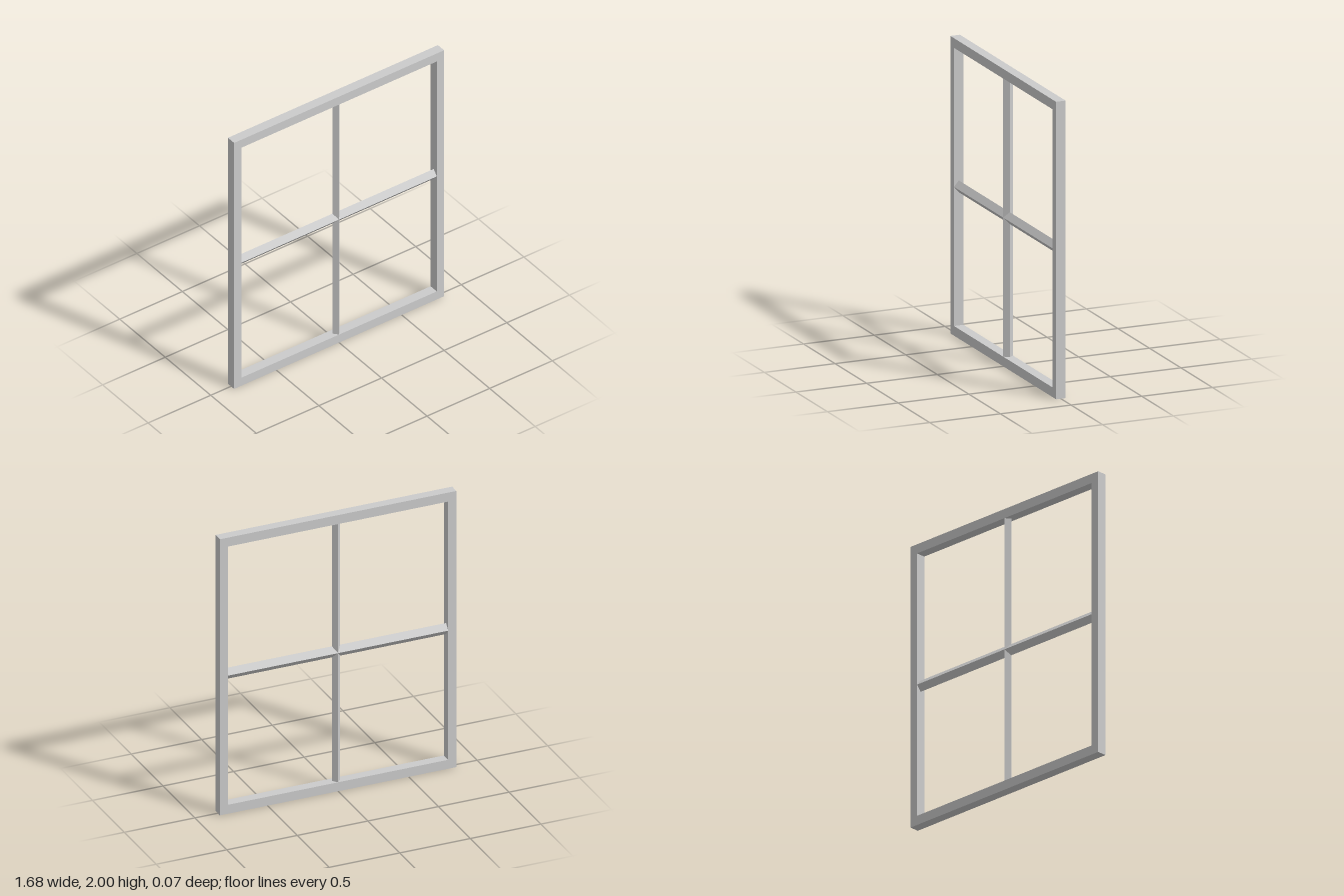
import * as THREE from 'three';

const W = 0.838, H = 2, DEPTH = 0.068;          // outer half width, height, thickness
const IN_X = 0.78, IN_Y0 = 0.065, IN_Y1 = 1.935; // opening

function rectangle(PathType, x, y0, y1) {
  const path = new PathType();
  path.moveTo(-x, y0);
  path.lineTo(x, y0);
  path.lineTo(x, y1);
  path.lineTo(-x, y1);
  path.closePath();
  return path;
}

// Bar along z with a diamond section, centred on the origin
function diamondBar(halfWidth, length) {
  const d = DEPTH / 2;
  const shape = new THREE.Shape([
    new THREE.Vector2(halfWidth, 0), new THREE.Vector2(0, d),
    new THREE.Vector2(-halfWidth, 0), new THREE.Vector2(0, -d),
  ]);
  const geometry = new THREE.ExtrudeGeometry(shape, { depth: length, bevelEnabled: false });
  return geometry.translate(0, 0, -length / 2);
}

export function createModel() {
  const group = new THREE.Group();
  group.name = 'window';
  const material = new THREE.MeshStandardMaterial({ color: 0xcccccc, flatShading: true });

  const add = (name, geometry) => {
    const mesh = new THREE.Mesh(geometry, material);
    mesh.name = name;
    group.add(mesh);
  };

  // Outer frame with one large opening
  const outline = rectangle(THREE.Shape, W, 0, H);
  outline.holes.push(rectangle(THREE.Path, IN_X, IN_Y0, IN_Y1));
  const frame = new THREE.ExtrudeGeometry(outline, { depth: DEPTH, bevelEnabled: false });
  add('frame', frame.translate(0, 0, -DEPTH / 2));

  // Crossing glazing bars, ridges flush with the frame faces
  const upright = diamondBar(0.029, IN_Y1 - IN_Y0).rotateX(Math.PI / 2);
  add('verticalBar', upright.translate(0, H / 2, 0));

  const crossbar = diamondBar(0.04, 2 * IN_X).rotateZ(Math.PI / 2).rotateY(Math.PI / 2);
  // The section's width must stand upright and its depth face the front
  add('horizontalBar', crossbar.translate(0, H / 2, 0));

  return group;
}
